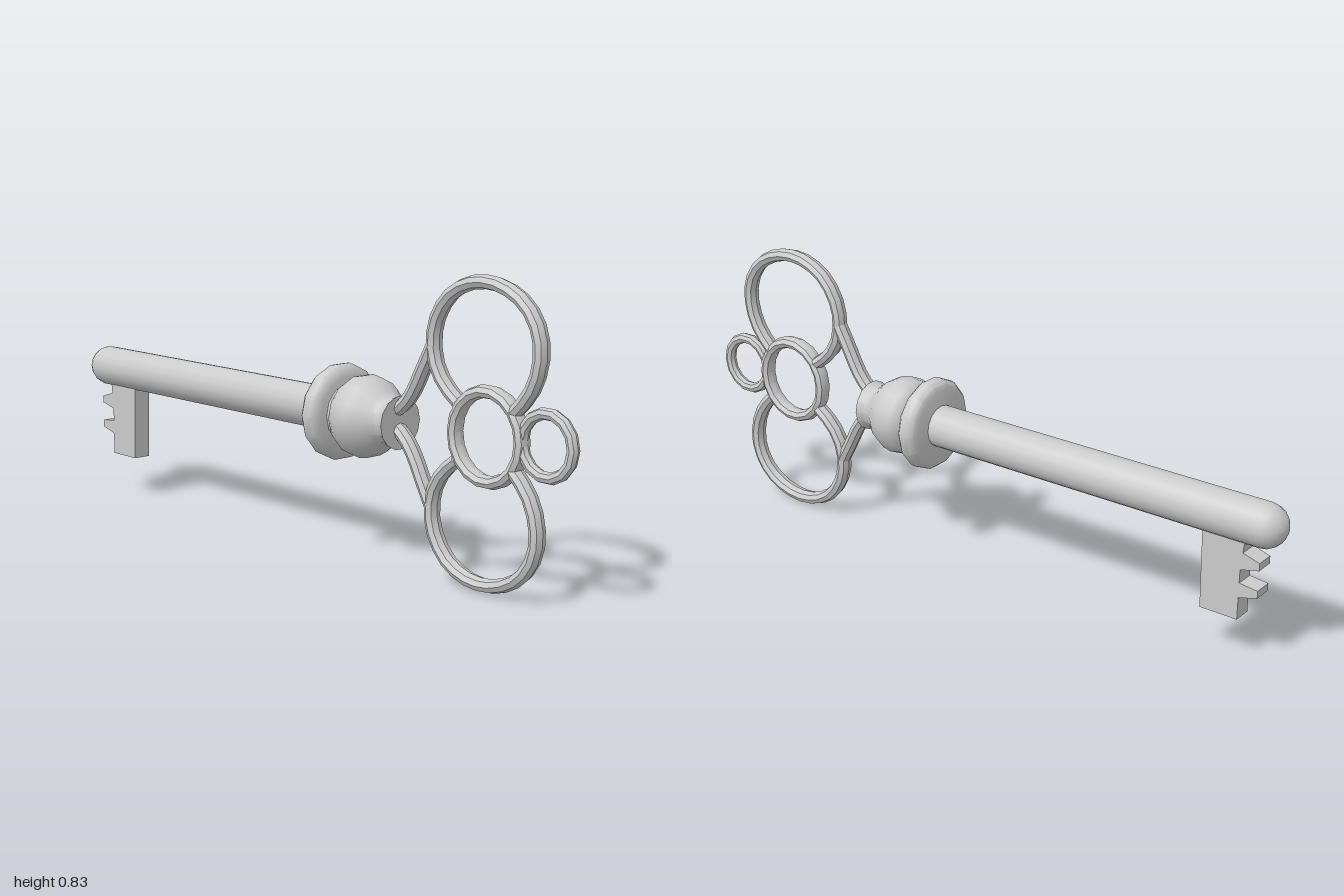
import * as THREE from 'three';
import { toCreasedNormals } from 'three/addons/utils/BufferGeometryUtils.js';

const AXIS_Y = 0.41; // height of the shaft axis
const BOW_Y = 0.42; // mirror line of the bow
const material = new THREE.MeshStandardMaterial({ color: 0xcccccc });

function addMesh(parent, name, geometry, crease = 0.6) {
  const mesh = new THREE.Mesh(toCreasedNormals(geometry, crease), material);
  mesh.name = name;
  parent.add(mesh);
  return mesh;
}

// Profile of [x along the key, radius] turned about the shaft axis
function turned(profile, sides) {
  const geometry = new THREE.LatheGeometry(profile.map(([x, r]) => new THREE.Vector2(r, x)), sides);
  return geometry.rotateZ(-Math.PI / 2).translate(0, AXIS_Y, 0);
}

// Bar following a flat path, with a cross-section deeper in z than it is wide
function bar(points, radius, depth, segments, closed = false) {
  const path = new THREE.CatmullRomCurve3(points.map(([x, y]) => new THREE.Vector3(x, y, 0)), closed, 'centripetal');
  return new THREE.TubeGeometry(path, segments, radius, 8, closed).scale(1, 1, depth / radius);
}

function ring(x, y, rx, ry, radius, depth, segments) {
  const points = [];
  for (let i = 0; i < segments; i++) {
    const a = (i / segments) * Math.PI * 2;
    points.push([x + rx * Math.cos(a), y + ry * Math.sin(a)]);
  }
  return bar(points, radius, depth, segments, true);
}

export function createModel() {
  const key = new THREE.Group();
  key.name = 'key';

  // Shaft with a rounded tip
  const shaft = [];
  for (let i = 0; i <= 5; i++) {
    const a = (i / 5) * Math.PI / 2;
    shaft.push([-0.938 - 0.062 * Math.cos(a), 0.062 * Math.sin(a)]);
  }
  shaft.push([0.14, 0.062]);
  addMesh(key, 'shaft', turned(shaft, 16));

  // Collar disc with a rounded rim
  addMesh(key, 'collar', turned([
    [0.125, 0], [0.125, 0.108], [0.131, 0.125], [0.144, 0.135], [0.158, 0.137],
    [0.172, 0.135], [0.184, 0.124], [0.19, 0.106], [0.19, 0],
  ], 14));

  // Bulb narrowing to a flared neck
  addMesh(key, 'bulb', turned([
    [0.18, 0.086], [0.203, 0.086], [0.212, 0.1], [0.232, 0.112], [0.26, 0.117], [0.288, 0.112],
    [0.315, 0.098], [0.338, 0.078], [0.355, 0.067], [0.37, 0.066], [0.39, 0.075], [0.39, 0],
  ], 14));

  // Bit: a plate with two tapered teeth
  const outline = [
    [-0.77, 0.39], [-0.775, 0.13], [-0.888, 0.13], [-0.888, 0.195], [-0.943, 0.21], [-0.943, 0.232],
    [-0.888, 0.238], [-0.888, 0.277], [-0.943, 0.29], [-0.943, 0.312], [-0.893, 0.327], [-0.9, 0.39],
  ].map(([x, y]) => new THREE.Vector2(x, y));
  const bit = new THREE.ExtrudeGeometry(new THREE.Shape(outline), { depth: 0.056, bevelEnabled: false });
  addMesh(key, 'bit', bit.translate(0, 0, -0.028), 0.1);

  // Bow: two mirrored loops with their stems, a centre ring and an end ring
  const bow = new THREE.Group();
  bow.name = 'bow';
  key.add(bow);
  const loop = [
    [0.605, 0.495], [0.55, 0.54], [0.515, 0.605], [0.516, 0.69], [0.56, 0.765], [0.62, 0.803], [0.69, 0.816],
    [0.765, 0.803], [0.83, 0.764], [0.87, 0.7], [0.874, 0.625], [0.845, 0.55], [0.795, 0.495],
  ];
  const stem = [[0.37, 0.44], [0.405, 0.463], [0.44, 0.505], [0.475, 0.57], [0.513, 0.64]];
  for (const [side, sign] of [['upper', 1], ['lower', -1]]) {
    const mirror = ([x, y]) => [x, BOW_Y + sign * (y - BOW_Y)];
    addMesh(bow, side + 'Loop', bar(loop.map(mirror), 0.019, 0.025, 22));
    addMesh(bow, side + 'Stem', bar(stem.map(mirror), 0.019, 0.025, 8));
  }
  addMesh(bow, 'centreRing', ring(0.705, 0.418, 0.115, 0.119, 0.018, 0.025, 18));
  addMesh(bow, 'endRing', ring(0.902, 0.425, 0.082, 0.082, 0.016, 0.017, 14));

  return key;
}
